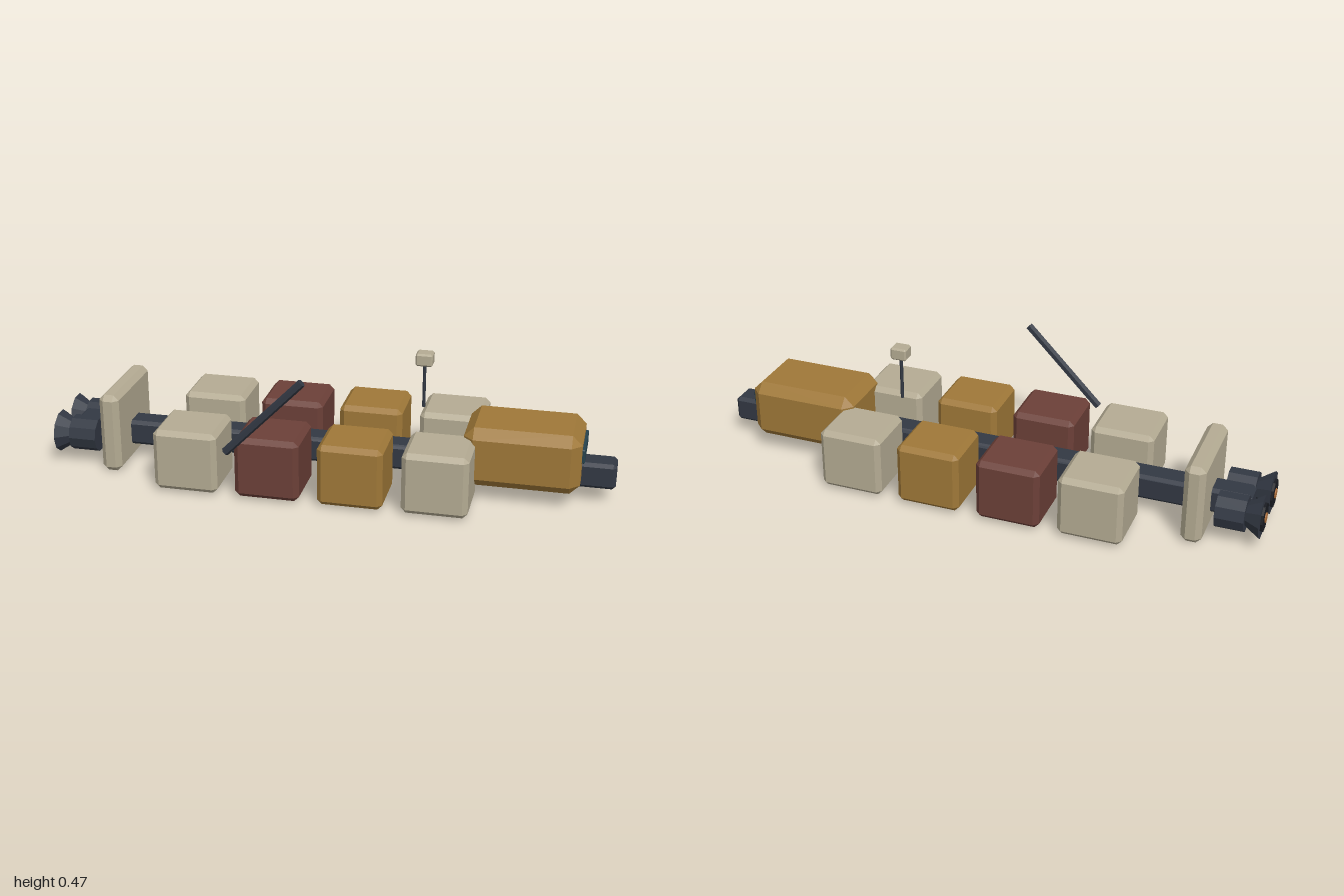
import * as THREE from 'three';
import { ConvexGeometry } from 'three/addons/geometries/ConvexGeometry.js';

const mat = (color) => new THREE.MeshStandardMaterial({ color, flatShading: true });
const TAN = mat(0xb4ab93), MAROON = mat(0x6c4038), OCHRE = mat(0x9f7838);
const DARK = mat(0x323843), BLACK = mat(0x1a1d23), GLASS = mat(0x26424d), GLOW = mat(0xb0703a);
const AXIS_Z = -0.0175; // centre line of the hull

// Box given by its extents, with every edge chamfered by c
function chamferBox(name, [x0, x1], [y0, y1], [z0, z1], c, material) {
  const h = [(x1 - x0) / 2, (y1 - y0) / 2, (z1 - z0) / 2];
  const pts = [];
  for (const sx of [-1, 1]) for (const sy of [-1, 1]) for (const sz of [-1, 1])
    for (let axis = 0; axis < 3; axis++) {
      const p = h.map((v, i) => (i === axis ? v : v - c));
      pts.push(new THREE.Vector3(p[0] * sx, p[1] * sy, p[2] * sz));
    }
  const mesh = new THREE.Mesh(new ConvexGeometry(pts), material);
  mesh.name = name;
  mesh.position.set((x0 + x1) / 2, (y0 + y1) / 2, (z0 + z1) / 2);
  return mesh;
}

// Cylinder or cone between two points
function rod(name, a, b, ra, rb, sides, material, twist = 0) {
  const from = new THREE.Vector3(...a), to = new THREE.Vector3(...b);
  const dir = to.clone().sub(from);
  const geo = new THREE.CylinderGeometry(rb, ra, dir.length(), sides).rotateY(twist);
  const mesh = new THREE.Mesh(geo, material);
  mesh.name = name;
  mesh.position.copy(from).add(to).multiplyScalar(0.5);
  mesh.quaternion.setFromUnitVectors(new THREE.Vector3(0, 1, 0), dir.normalize());
  return mesh;
}

function engine(name, z) {
  const g = new THREE.Group();
  g.name = name;
  const y = 0.105;
  const along = (n, xa, xb, ra, rb, m) => g.add(rod(n, [xa, y, z], [xb, y, z], ra, rb, 10, m));
  along('engineBody', -0.936, -0.837, 0.063, 0.063, DARK);
  along('engineFlare', -0.988, -0.93, 0.076, 0.038, DARK);
  along('engineMouth', -0.996, -0.986, 0.05, 0.05, BLACK);
  along('engineCore', -1, -0.99, 0.018, 0.018, GLOW);
  return g;
}

export function createModel() {
  const model = new THREE.Group();
  model.name = 'cargoShip';

  // Spine, cabin and rear shield
  model.add(
    chamferBox('spine', [-0.94, 0.997], [0.058, 0.15], [-0.064, 0.029], 0.012, DARK),
    chamferBox('cabin', [0.482, 0.88], [0.057, 0.27], [-0.149, 0.116], 0.034, OCHRE),
    chamferBox('windshield', [0.87, 0.89], [0.167, 0.217], [-0.106, 0.072], 0.003, GLASS),
    chamferBox('rearShield', [-0.805, -0.733], [0, 0.29], [-0.187, 0.153], 0.019, TAN)
  );

  // Two rows of cargo containers
  [TAN, MAROON, OCHRE, TAN].forEach((m, i) => {
    const x = -0.454 + i * 0.289;
    for (const s of [-1, 1]) {
      const z = AXIS_Z + s * 0.18;
      model.add(chamferBox('container', [x - 0.113, x + 0.113], [0.01, 0.23], [z - 0.107, z + 0.107], 0.017, m));
    }
  });

  // Twin engines
  model.add(engine('leftEngine', AXIS_Z + 0.08), engine('rightEngine', AXIS_Z - 0.08));

  // Slanted boom and sensor mast
  model.add(
    rod('boom', [-0.298, 0.188, 0.29], [-0.03, 0.461, 0.29], 0.0145, 0.0145, 6, DARK, Math.PI / 6),
    rod('mast', [0.321, 0.274, -0.05], [0.321, 0.435, -0.05], 0.006, 0.006, 6, DARK),
    chamferBox('sensorHead', [0.292, 0.351], [0.43, 0.475], [-0.077, -0.024], 0.006, TAN)
  );
  return model;
}
